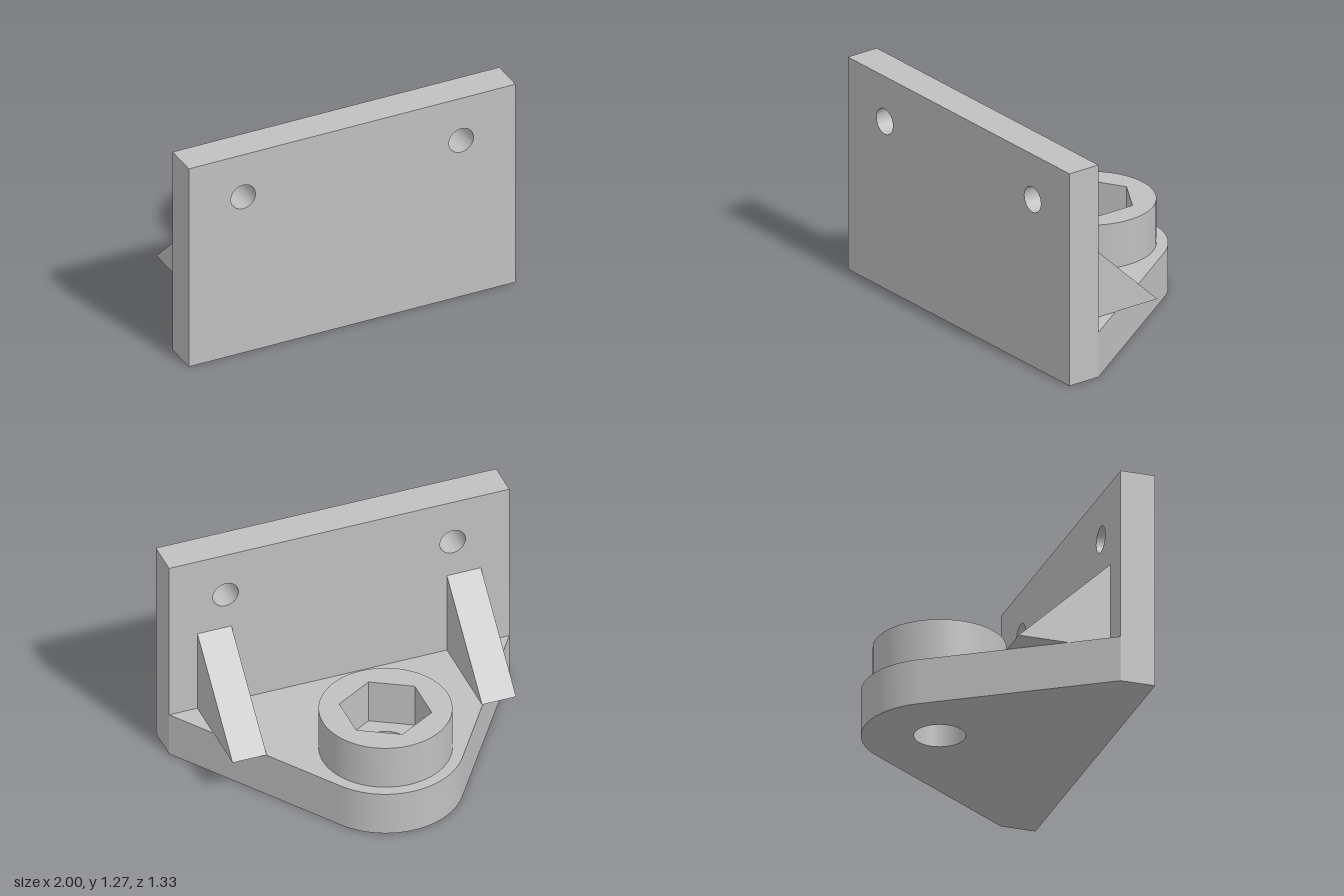
import * as THREE from 'three';
import { toCreasedNormals } from 'three/addons/utils/BufferGeometryUtils.js';

const BASE_TOP = 0.267, BOSS_TOP = 0.533;  // heights
const PLATE_BACK = 0.467, PLATE_FRONT = 0.667;
const BOSS_Z = -0.235;                     // boss axis

export function createModel() {
  const group = new THREE.Group();
  const grey = new THREE.MeshStandardMaterial({ color: 0xc0c0c0 });
  grey.name = 'grey';

  const extrude = (shape, depth) => toCreasedNormals(
    new THREE.ExtrudeGeometry(shape, { depth, bevelEnabled: false, curveSegments: 48 }), 0.5);
  const add = (name, geometry) => {
    const mesh = new THREE.Mesh(geometry, grey);
    mesh.name = name;
    group.add(mesh);
  };
  const circle = (x, y, r) => new THREE.Path().absarc(x, y, r, 0, Math.PI * 2, true);
  // lay a plan outline (x, -z) flat, rising from y
  const slab = (shape, y, height) => extrude(shape, height).rotateX(-Math.PI / 2).translate(0, y, 0);

  // upright mounting plate with two bolt holes
  const plate = new THREE.Shape([[-1, 0], [1, 0], [1, 1.27], [-1, 1.27]].map(p => new THREE.Vector2(...p)));
  for (const s of [-1, 1]) plate.holes.push(circle(s * 0.667, 1, 0.075));
  add('mountingPlate', extrude(plate, PLATE_FRONT - PLATE_BACK).translate(0, 0, PLATE_BACK));

  // tapered base: straight sides tangent to a rounded end
  const r = 0.432, dz = PLATE_BACK - BOSS_Z;
  const tangent = Math.acos(r / Math.hypot(1, dz)) - Math.atan2(dz, 1);
  const base = new THREE.Shape();
  base.moveTo(-1, -PLATE_BACK);
  base.lineTo(1, -PLATE_BACK);
  base.absarc(0, -BOSS_Z, r, tangent, Math.PI - tangent, false);
  base.closePath();
  base.holes.push(circle(0, -BOSS_Z, 0.143));
  add('base', slab(base, 0, BASE_TOP));

  // round boss with a hexagonal pocket
  const boss = new THREE.Shape().absarc(0, -BOSS_Z, 0.367, 0, Math.PI * 2, false);
  const hex = [];
  for (let i = 0; i < 6; i++) {
    const a = Math.PI / 6 - i * Math.PI / 3;
    hex.push(new THREE.Vector2(0.256 * Math.cos(a), -BOSS_Z + 0.256 * Math.sin(a)));
  }
  boss.holes.push(new THREE.Path(hex));
  add('boss', slab(boss, BASE_TOP, BOSS_TOP - BASE_TOP));

  // triangular ribs between plate and base
  const rib = new THREE.Shape([[-PLATE_BACK, BASE_TOP], [0.067, BASE_TOP], [-PLATE_BACK, 0.777]]
    .map(p => new THREE.Vector2(...p)));
  for (const [name, x] of [['leftRib', 0.633], ['rightRib', -0.833]])
    add(name, extrude(rib, 0.2).rotateY(Math.PI / 2).translate(x, 0, 0));

  return group;
}
